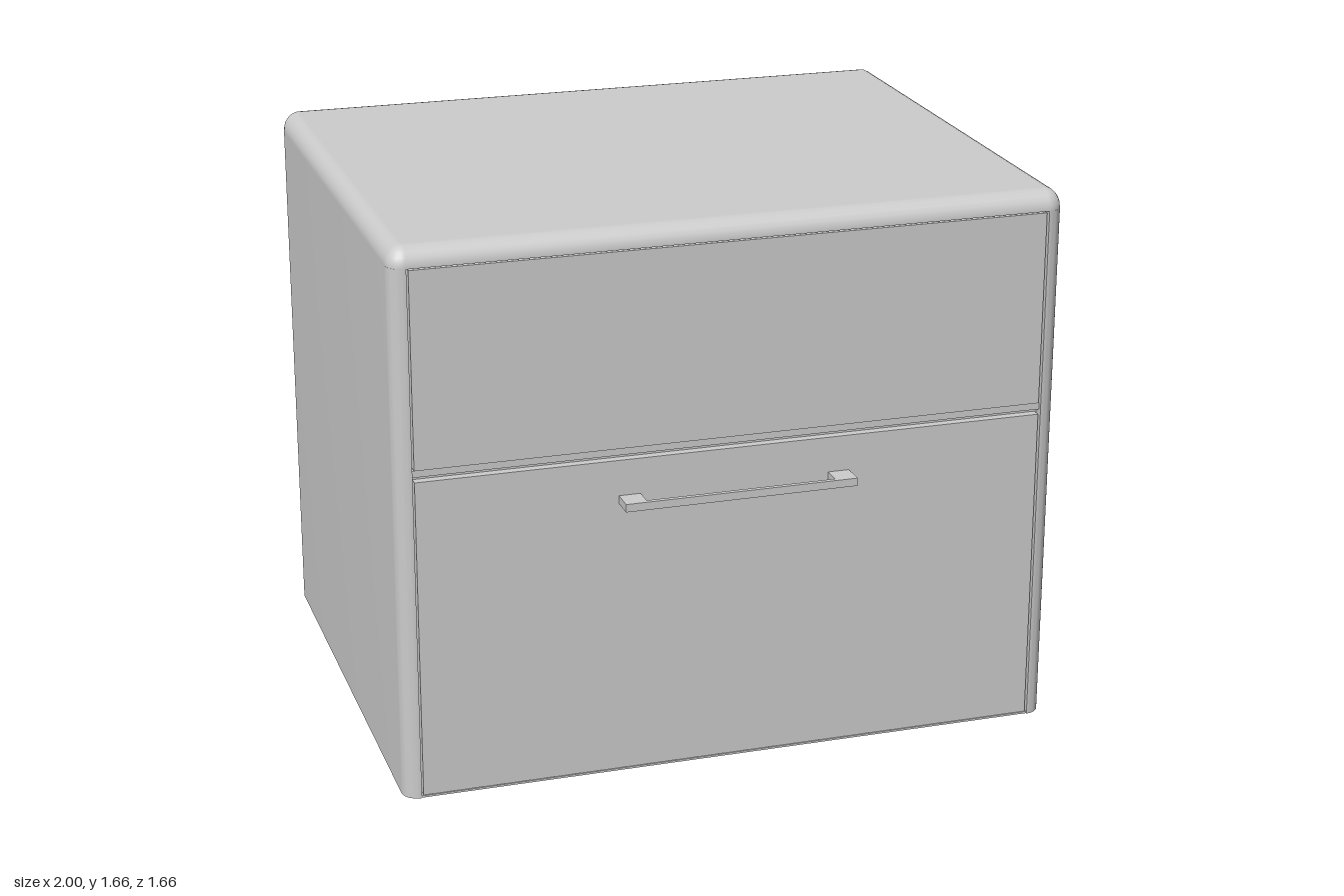
import * as THREE from 'three';
import { toCreasedNormals } from 'three/addons/utils/BufferGeometryUtils.js';

const BACK = -0.83, FRONT = 0.76, R = 0.05, WALL_TOP = 1.605, TOP = 1.665;
const OPEN = 0.95, RECESS = 0.03;
const material = new THREE.MeshStandardMaterial({ color: 0xcccccc });

function add(group, name, geometry, x = 0, y = 0, z = 0) {
  const mesh = new THREE.Mesh(geometry, material);
  mesh.name = name;
  mesh.position.set(x, y, z);
  group.add(mesh);
  return mesh;
}

// Box given by its limits on each axis
function addBox(group, name, [x0, x1], [y0, y1], [z0, z1]) {
  const geometry = new THREE.BoxGeometry(x1 - x0, y1 - y0, z1 - z0);
  return add(group, name, geometry, (x0 + x1) / 2, (y0 + y1) / 2, (z0 + z1) / 2);
}

// Carcass: rounded plan with a shallow recess across the front (shape y = -z)
function carcassGeometry() {
  const s = new THREE.Shape();
  s.moveTo(-OPEN, -FRONT + RECESS);
  s.lineTo(OPEN, -FRONT + RECESS);
  s.lineTo(OPEN, -FRONT);
  s.absarc(1 - R, -FRONT + R, R, -Math.PI / 2, 0);
  s.absarc(1 - R, -BACK - R, R, 0, Math.PI / 2);
  s.absarc(-1 + R, -BACK - R, R, Math.PI / 2, Math.PI);
  s.absarc(-1 + R, -FRONT + R, R, Math.PI, Math.PI * 1.5);
  const g = new THREE.ExtrudeGeometry(s, { depth: WALL_TOP, bevelEnabled: false, curveSegments: 6 });
  g.rotateX(-Math.PI / 2);
  return toCreasedNormals(g, Math.PI / 5);
}

// Top: rounded-plan rings that curve inwards to a flat face
function topGeometry() {
  const steps = 6, rings = 6, n = 4 * (steps + 1);
  const pos = [], nor = [], idx = [];
  const cx = [1, -1, -1, 1], cz = [1, 1, -1, -1];
  for (let j = 0; j <= rings; j++) {
    const t = (j / rings) * Math.PI / 2;
    for (let c = 0; c < 4; c++) {
      for (let k = 0; k <= steps; k++) {
        const a = (c + k / steps) * Math.PI / 2;
        const nx = Math.cos(a) * Math.cos(t), nz = Math.sin(a) * Math.cos(t);
        pos.push(cx[c] * (1 - R) + R * nx,
          WALL_TOP + (TOP - WALL_TOP) * Math.sin(t),
          (cz[c] > 0 ? FRONT - R : BACK + R) + R * nz);
        nor.push(nx, Math.sin(t), nz);
      }
    }
  }
  for (let j = 0; j < rings; j++) {
    for (let i = 0; i < n; i++) {
      const a = j * n + i, b = j * n + (i + 1) % n;
      idx.push(a, a + n, b, b, a + n, b + n);
    }
  }
  // Flat top and underside
  const last = rings * n;
  for (let i = 1; i < n - 1; i++) idx.push(last, last + i + 1, last + i);
  const base = pos.length / 3;
  for (let i = 0; i < n; i++) {
    pos.push(pos[i * 3], pos[i * 3 + 1], pos[i * 3 + 2]);
    nor.push(0, -1, 0);
  }
  for (let i = 1; i < n - 1; i++) idx.push(base, base + i, base + i + 1);
  const g = new THREE.BufferGeometry();
  g.setAttribute('position', new THREE.Float32BufferAttribute(pos, 3));
  g.setAttribute('normal', new THREE.Float32BufferAttribute(nor, 3));
  g.setIndex(idx);
  return g;
}

export function createModel() {
  const model = new THREE.Group();
  model.name = 'bedsideCabinet';

  add(model, 'carcass', carcassGeometry());
  add(model, 'top', topGeometry());

  // Drawer fronts, with a thin shadow gap around them
  const side = [-OPEN + 0.006, OPEN - 0.006];
  const panelZ = [FRONT - RECESS, FRONT - 0.003];
  addBox(model, 'lowerDrawerFront', side, [0.008, 0.98], panelZ);
  addBox(model, 'upperDrawerFront', side, [1.015, 1.6], panelZ);

  // Sill and rail set back between and below the drawers
  addBox(model, 'bottomSill', [-OPEN, OPEN], [0, 0.006], panelZ);
  addBox(model, 'middleRail', [-OPEN, OPEN], [0.992, 1.012], [FRONT - RECESS, FRONT - 0.012]);

  // Handle: two posts joined by a thin bar
  const handle = new THREE.Group();
  handle.name = 'handle';
  const h = [0.848, 0.872];
  for (const s of [-1, 1]) {
    const x = s > 0 ? [0.285, 0.35] : [-0.35, -0.285];
    addBox(handle, s > 0 ? 'leftPost' : 'rightPost', x, h, [FRONT - 0.01, 0.828]);
  }
  addBox(handle, 'bar', [-0.285, 0.285], h, [0.814, 0.828]);
  model.add(handle);

  return model;
}
